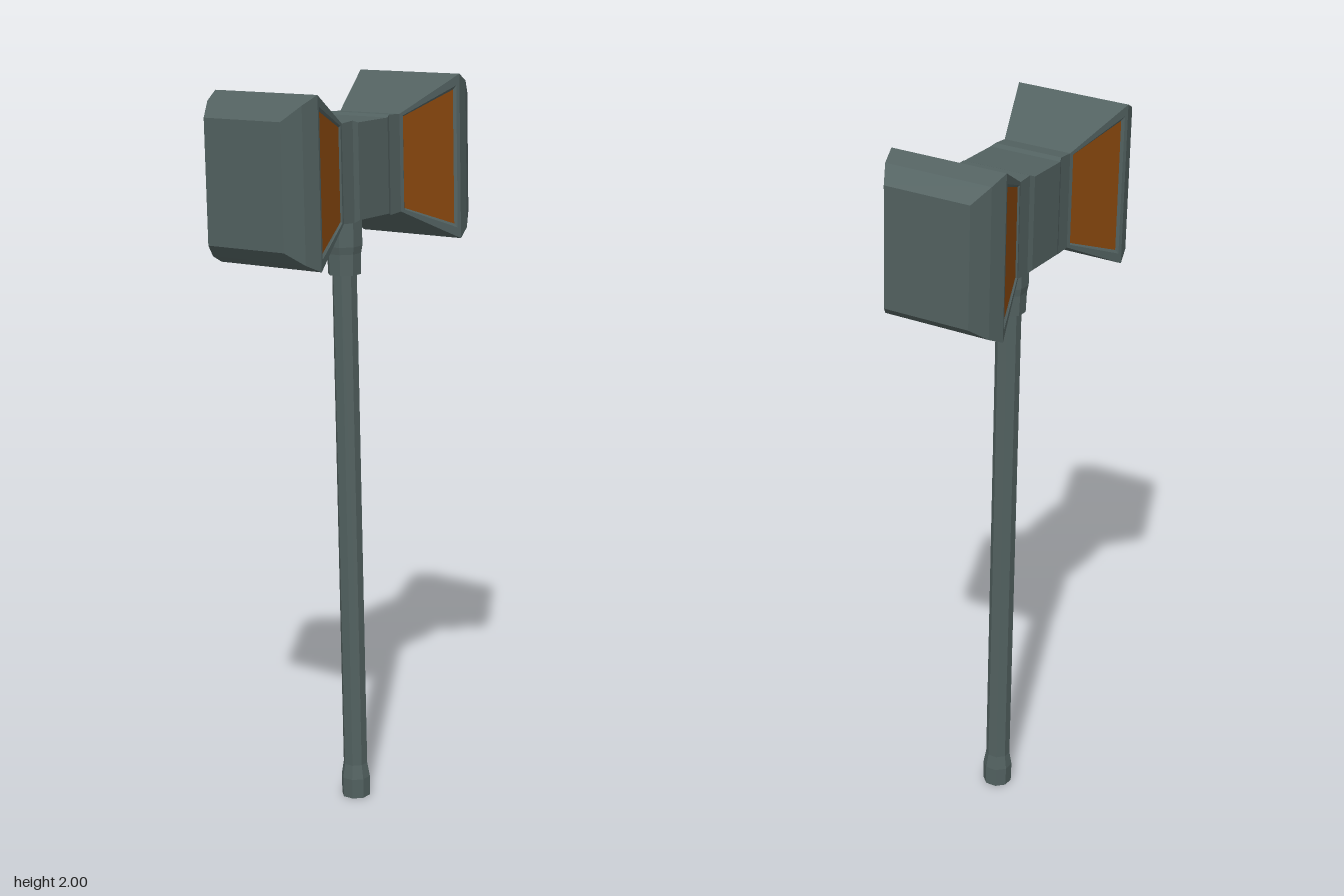
import * as THREE from 'three';

const steel = new THREE.MeshStandardMaterial({ color: 0x526160, flatShading: true });
steel.name = 'dark steel';
const amber = new THREE.MeshStandardMaterial({ color: 0x8a480e, flatShading: true });
amber.name = 'amber inlay';

// Half profile of the head: distance along z, half width, half height
const half = [
  [0.065, 0.104, 0.127], [0.08, 0.098, 0.133], [0.127, 0.098, 0.13],
  [0.312, 0.165, 0.2225], [0.36, 0.152, 0.2], [0.411, 0.123, 0.163],
];
const sections = [...half.map(([z, w, h]) => [-z, w, h]).reverse(), ...half];

const corners = ([z, w, h]) => [[w, -h, z], [w, h, z], [-w, h, z], [-w, -h, z]];

// Mesh from a list of four-cornered faces, counter-clockwise from outside
function quadMesh(quads, material, name) {
  const pos = [];
  for (const [a, b, c, d] of quads) pos.push(...a, ...b, ...c, ...a, ...c, ...d);
  const g = new THREE.BufferGeometry();
  g.setAttribute('position', new THREE.Float32BufferAttribute(pos, 3));
  g.computeVertexNormals();
  const m = new THREE.Mesh(g, material);
  m.name = name;
  return m;
}

// Lofted head, leaving the flared side bays open for the framed inlays
function headQuads() {
  const quads = [];
  for (let i = 0; i < sections.length - 1; i++) {
    const a = corners(sections[i]), b = corners(sections[i + 1]);
    const bay = i === 2 || i === 8;
    for (let k = 0; k < 4; k++) {
      if (bay && k % 2 === 0) continue;
      const n = (k + 1) % 4;
      quads.push([a[k], a[n], b[n], b[k]]);
    }
  }
  quads.push(corners(sections[0]).reverse(), corners(sections[sections.length - 1]));
  return quads;
}

// Trapezoid on a flared side: z range, half heights, sunk by a depth
function bayRing(sx, sz, z0, z1, h0, h1, depth) {
  const x = z => sx * (0.098 + (z - 0.127) * (0.067 / 0.185) - depth);
  const ring = [[x(z0), -h0, sz * z0], [x(z0), h0, sz * z0], [x(z1), h1, sz * z1], [x(z1), -h1, sz * z1]];
  return sx * sz > 0 ? ring : ring.reverse();
}

function lathe(points, name) {
  const g = new THREE.LatheGeometry(points.map(p => new THREE.Vector2(...p)), 8, Math.PI / 8);
  const m = new THREE.Mesh(g, steel);
  m.name = name;
  return m;
}

export function createModel() {
  const model = new THREE.Group();
  model.name = 'warHammer';
  const hammer = new THREE.Group();
  hammer.name = 'leaningHammer';
  hammer.position.set(-0.003, 1.777, 0.001);
  hammer.rotation.set(0.007, -0.011, 0.023);
  model.add(hammer);

  hammer.add(quadMesh(headQuads(), steel, 'head'));

  // Four bevelled frames with amber panels
  for (const sx of [1, -1]) for (const sz of [1, -1]) {
    const rings = [
      bayRing(sx, sz, 0.127, 0.312, 0.13, 0.2225, 0),
      bayRing(sx, sz, 0.137, 0.302, 0.125, 0.192, 0),
      bayRing(sx, sz, 0.142, 0.296, 0.122, 0.181, 0.005),
    ];
    const frame = [];
    for (let r = 0; r < 2; r++) for (let k = 0; k < 4; k++) {
      const n = (k + 1) % 4, a = rings[r], b = rings[r + 1];
      frame.push([a[k], a[n], b[n], b[k]]);
    }
    const side = (sz > 0 ? 'front' : 'back') + (sx > 0 ? 'Left' : 'Right');
    hammer.add(quadMesh(frame, steel, side + 'Frame'));
    hammer.add(quadMesh([rings[2]], amber, side + 'Inlay'));
  }

  // Eight-sided shaft, collar under the head and pommel at the foot
  hammer.add(lathe([[0.034, -1.7], [0.034, -0.25]], 'shaft'));
  hammer.add(lathe([[0, -0.287], [0.045, -0.287], [0.047, -0.23], [0.051, -0.21], [0.051, -0.12]], 'collar'));
  hammer.add(lathe([[0, -1.776], [0.04, -1.776], [0.041, -1.72], [0.034, -1.68]], 'pommel'));
  return model;
}
